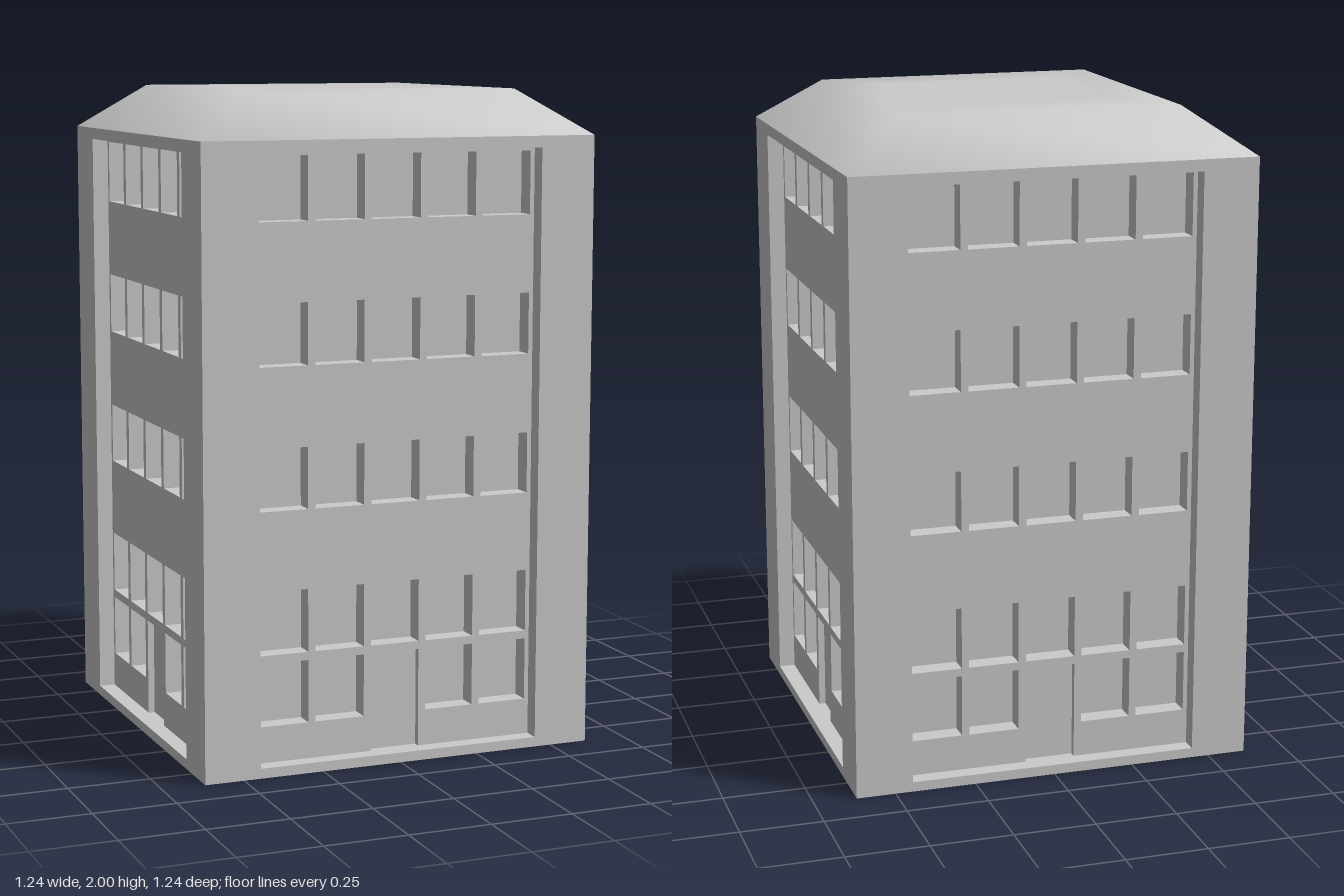
import * as THREE from 'three';
import { mergeVertices } from 'three/addons/utils/BufferGeometryUtils.js';

const HALF = 0.62;      // half width of the building
const EAVE = 1.865;     // top of the walls
const BAY = 0.447;      // half width of the recessed bay on each side
const BAY_Y0 = 0.03, BAY_Y1 = 1.83;
const PANEL_Z = 0.57;   // face of the recessed bay
const GLASS_Z = 0.51;   // face of the window panes
const DOOR_Z = 0.55;    // face of the door
const WIN = { w: 0.155, pitch: 0.178 };
const ROWS = [[0.14, 0.33], [0.355, 0.545], [0.785, 0.97], [1.21, 1.395], [1.63, 1.82]];
const DOOR_TOP = 0.33;

const material = new THREE.MeshStandardMaterial({ color: 0xcccccc });

function add(parent, name, geometry) {
  const mesh = new THREE.Mesh(geometry, material);
  mesh.name = name;
  parent.add(mesh);
  return mesh;
}

// Box given by its minimum and maximum corners
function box(parent, name, [x0, y0, z0], [x1, y1, z1]) {
  const mesh = add(parent, name, new THREE.BoxGeometry(x1 - x0, y1 - y0, z1 - z0));
  mesh.position.set((x0 + x1) / 2, (y0 + y1) / 2, (z0 + z1) / 2);
  return mesh;
}

const points = (list) => list.map(([x, y]) => new THREE.Vector2(x, y));

// Bay wall with window holes and a doorway notch at the bottom
function bayGeometry() {
  const d = WIN.w / 2;
  const shape = new THREE.Shape(points([
    [-BAY, BAY_Y0], [-d, BAY_Y0], [-d, DOOR_TOP], [d, DOOR_TOP],
    [d, BAY_Y0], [BAY, BAY_Y0], [BAY, BAY_Y1], [-BAY, BAY_Y1],
  ]));
  ROWS.forEach(([y0, y1], row) => {
    for (let col = -2; col <= 2; col++) {
      if (row === 0 && col === 0) continue; // the door is here
      const x0 = col * WIN.pitch - d, x1 = x0 + WIN.w;
      shape.holes.push(new THREE.Path(points([[x0, y0], [x0, y1], [x1, y1], [x1, y0]])));
    }
  });
  const geometry = new THREE.ExtrudeGeometry(shape, { depth: PANEL_Z - GLASS_Z, bevelEnabled: false });
  geometry.translate(0, 0, GLASS_Z);
  return geometry;
}

// Low hipped roof with a flat top, shaded smoothly across its edges
function roofGeometry() {
  const profile = points([[HALF, EAVE], [0.44, 2], [0.27, 2], [0, 2]]
    .map(([r, y]) => [r * Math.SQRT2, y]));
  const lathe = new THREE.LatheGeometry(profile, 4);
  lathe.rotateY(Math.PI / 4);
  lathe.deleteAttribute('normal');
  lathe.deleteAttribute('uv');
  const geometry = mergeVertices(lathe, 1e-4);
  geometry.computeVertexNormals();
  return geometry;
}

export function createModel() {
  const model = new THREE.Group();
  model.name = 'building';

  // Inner block, whose sides are the window panes
  box(model, 'windowPanes', [-GLASS_Z, 0, -GLASS_Z], [GLASS_Z, EAVE, GLASS_Z]);

  // Four equal sides, each with one corner pier
  const bay = bayGeometry();
  for (let i = 0; i < 4; i++) {
    const side = new THREE.Group();
    side.name = ['frontSide', 'leftSide', 'backSide', 'rightSide'][i];
    side.rotation.y = i * Math.PI / 2;
    box(side, 'cornerPier', [BAY, 0, BAY], [HALF, EAVE, HALF]);
    box(side, 'baseSill', [-BAY, 0, GLASS_Z], [BAY, BAY_Y0, HALF]);
    box(side, 'topLintel', [-BAY, BAY_Y1, GLASS_Z], [BAY, EAVE, HALF]);
    box(side, 'door', [-WIN.w / 2, BAY_Y0, GLASS_Z], [WIN.w / 2, DOOR_TOP, DOOR_Z]);
    add(side, 'bayWall', bay);
    model.add(side);
  }

  add(model, 'roof', roofGeometry());
  return model;
}
